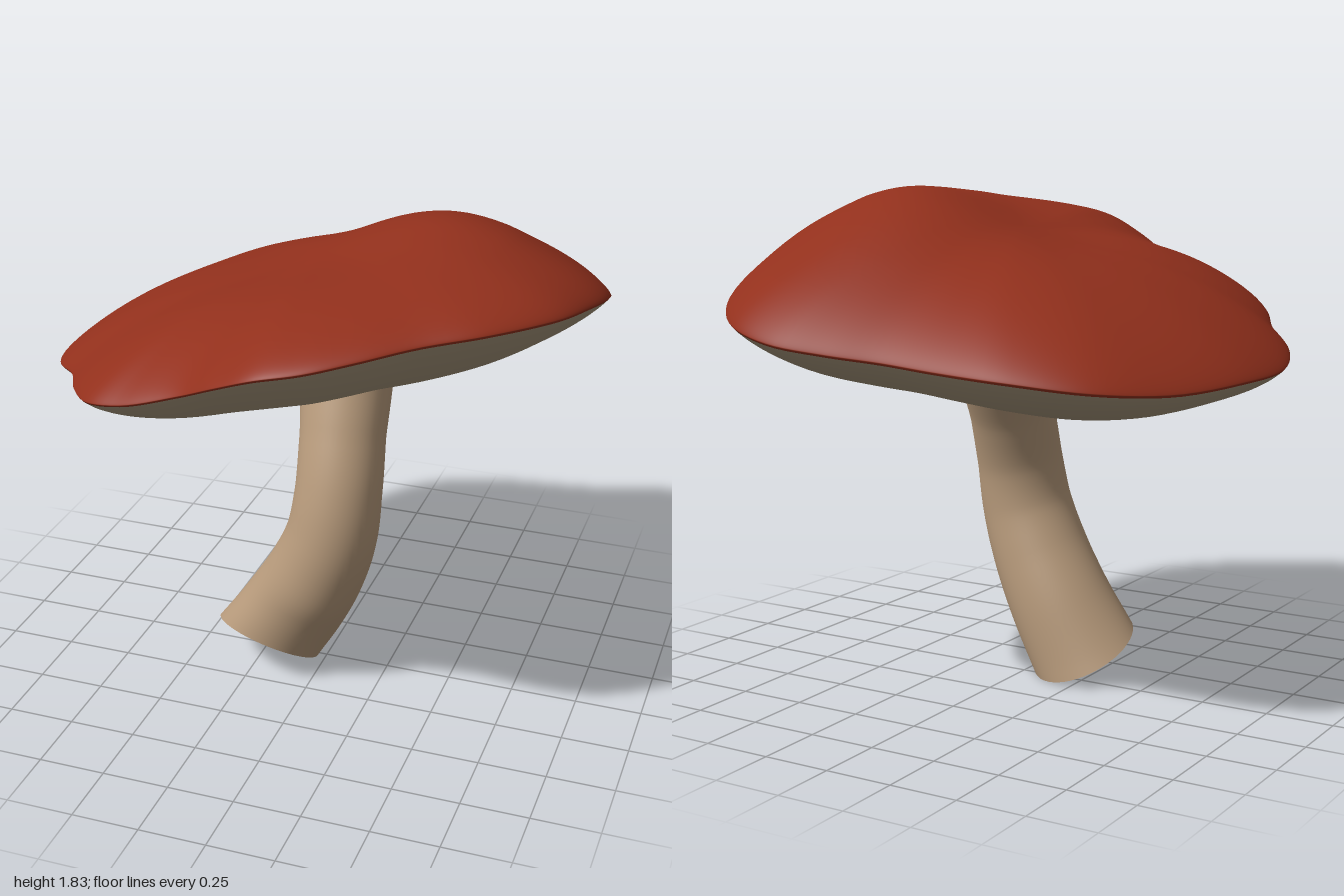
import * as THREE from 'three';

const V = (x, y, z) => new THREE.Vector3(x, y, z);

// Smooth surface from rows of points, closed around its columns
function gridMesh(name, color, rows, cols, pointAt) {
  const pos = [], idx = [];
  for (let i = 0; i <= rows; i++) {
    for (let j = 0; j < cols; j++) pos.push(...pointAt(i / rows, j / cols).toArray());
  }
  for (let i = 0; i < rows; i++) {
    for (let j = 0; j < cols; j++) {
      const k = (j + 1) % cols;
      const a = i * cols + j, b = i * cols + k, c = a + cols, d = b + cols;
      idx.push(a, b, c, b, d, c);
    }
  }
  const geo = new THREE.BufferGeometry();
  geo.setAttribute('position', new THREE.Float32BufferAttribute(pos, 3));
  geo.setIndex(idx);
  geo.computeVertexNormals();
  const mesh = new THREE.Mesh(geo, new THREE.MeshStandardMaterial({ color }));
  mesh.name = name;
  return mesh;
}

// Wavy, tilted rim of the cap
const rim = new THREE.CatmullRomCurve3([
  [.995, 1.6, -.1], [.982, 1.66, .15], [.92, 1.7, .4], [.75, 1.71, .62], [.56, 1.695, .75],
  [.4, 1.675, .88], [.25, 1.65, .97], [.1, 1.62, 1], [-.05, 1.555, .96], [-.2, 1.48, .9],
  [-.4, 1.41, .88], [-.55, 1.38, .84], [-.67, 1.35, .7], [-.78, 1.31, .5], [-.92, 1.26, .32],
  [-.995, 1.22, .1], [-.98, 1.21, -.2], [-.87, 1.2, -.52], [-.7, 1.22, -.75], [-.45, 1.25, -.87],
  [-.2, 1.27, -.9], [0, 1.29, -.92], [.2, 1.31, -.97], [.4, 1.335, -1], [.6, 1.375, -.94],
  [.8, 1.43, -.73], [.94, 1.5, -.42],
].map(p => V(...p)), true);

const bump = (p, x, z, s) => Math.exp(-((p.x - x) ** 2 + (p.z - z) ** 2) / (2 * s * s));
const tilt = p => 1.45 + 0.205 * p.x + 0.15 * p.z;

// Cap skin: phi runs from the crown (0) over the rim (PI/2) to the underside centre (PI)
function capPoint(phi, v) {
  const t = Math.max(0, Math.sin(phi));
  const r = rim.getPoint(v);
  const p = V(r.x * t, 0, r.z * t);
  // Even tilt in the middle, the waves of the rim growing outwards
  p.y = tilt(p) + (r.y - tilt(r)) * t ** 2.2;
  if (phi <= Math.PI / 2) {
    const dome = Math.max(0, 1 - t * t) ** 0.75;
    p.y += (0.278 + 0.035 * p.x - 0.04 * p.z) * dome;
    // Swelling at the back left and a shallow dimple near the middle
    p.y += Math.min(1, dome * 1.5) * (0.075 * bump(p, .38, -.18, .25) - 0.062 * bump(p, -.06, .12, .28));
  } else {
    // Fuller towards the back right, flatter towards the left, hollow around the stem
    const power = 3.3 - 0.4 * r.z - 0.2 * r.x;
    p.y -= 0.25 * Math.max(0, 1 - t ** power) ** 0.85 - 0.025 * bump(p, .06, 0, .2);
  }
  return p;
}

// Bent stem: centre line, radii and a slanted cut at the foot
const stemPath = new THREE.CatmullRomCurve3([
  [-.21, .1, .087], [-.1, .27, .1], [0, .45, .122], [.063, .62, .13],
  [.083, .8, .108], [.075, 1, .037], [.06, 1.18, -.05], [.045, 1.32, -.11],
].map(p => V(...p)));
const radii = [.207, .195, .183, .171, .162, .16, .172, .18];
const footNormal = V(.26, .87, -.41).normalize();

function stemPoint(u, v, scale = 1) {
  const f = u * (radii.length - 1), i = Math.min(Math.floor(f), radii.length - 2);
  const r = THREE.MathUtils.lerp(radii[i], radii[i + 1], f - i) * scale;
  const n = footNormal.clone().lerp(stemPath.getTangent(u), THREE.MathUtils.smoothstep(u, 0, .4)).normalize();
  const side = V(1, 0, 0).addScaledVector(n, -n.x).normalize();
  const back = n.clone().cross(side);
  const a = v * Math.PI * 2;
  return stemPath.getPoint(u)
    .addScaledVector(side, Math.cos(a) * r)
    .addScaledVector(back, Math.sin(a) * r);
}

export function createModel() {
  const group = new THREE.Group();
  group.name = 'mushroom';
  const edge = Math.PI * 0.535;
  const stemColor = 0xb89b7c;
  group.add(
    gridMesh('capTop', 0x92301c, 48, 144, (u, v) => capPoint(u * edge, v)),
    gridMesh('capUnderside', 0xa8977c, 40, 144, (u, v) => capPoint(edge + u * (Math.PI - edge), v)),
    gridMesh('stem', stemColor, 48, 48, (u, v) => stemPoint(u, v)),
    gridMesh('stemFoot', stemColor, 2, 48, (u, v) => stemPoint(0, v, u)),
  );
  return group;
}
